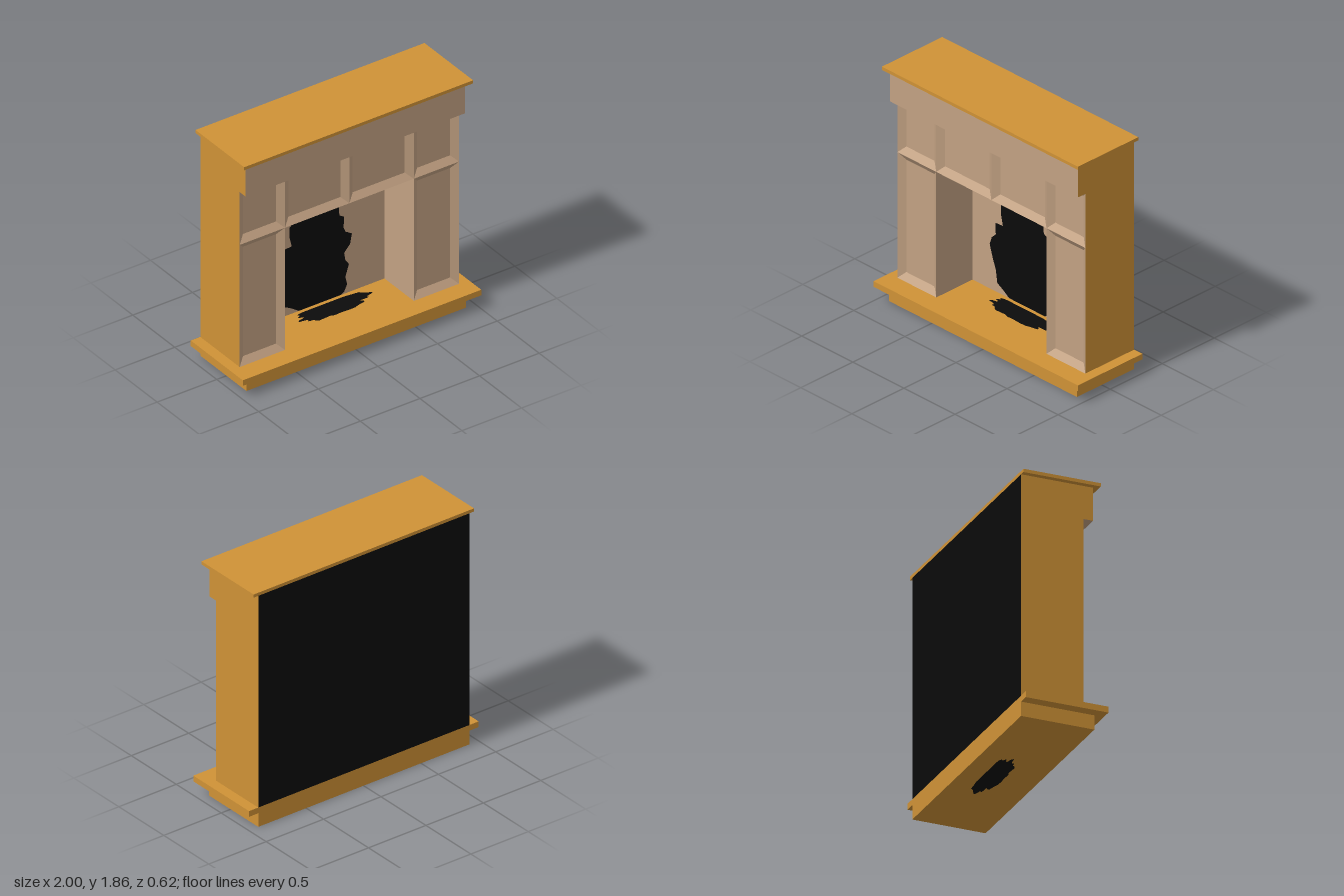
import * as THREE from 'three';

const mat = (name, color, side = THREE.FrontSide) => {
  const m = new THREE.MeshStandardMaterial({ color, side });
  m.name = name;
  return m;
};

export function createModel() {
  const root = new THREE.Group();
  root.name = 'fireplace';
  const wood = mat('wood', 0xcf9236, THREE.DoubleSide);
  const stone = mat('stone', 0xc2a182, THREE.DoubleSide);
  const black = mat('black', 0x0b0b0b, THREE.DoubleSide);

  // Main dimensions
  const W = 0.92, IN = 0.54, BACK = -0.31, FRONT = 0.16, WALL = -0.19;
  const FLOOR = 0.155, ARCH = 1.15, SHELF = 1.58, TOP = 1.83;

  const add = (name, geo, material) => {
    const mesh = new THREE.Mesh(geo, material);
    mesh.name = name;
    root.add(mesh);
    return mesh;
  };
  const box = (name, x, y0, y1, z0, z1, material) => {
    const geo = new THREE.BoxGeometry(2 * x, y1 - y0, z1 - z0);
    geo.translate(0, (y0 + y1) / 2, (z0 + z1) / 2);
    return add(name, geo, material);
  };
  // Flat faces from lists of four corners, counter-clockwise from outside
  const quads = (name, faces, material) => {
    const geo = new THREE.BufferGeometry();
    const p = faces.flatMap(([a, b, c, d]) => [a, b, c, a, c, d].flat());
    geo.setAttribute('position', new THREE.Float32BufferAttribute(p, 3));
    geo.computeVertexNormals();
    return add(name, geo, material);
  };

  // Stepped base and hearth slab
  box('base', W, 0.002, 0.11, BACK, 0.24, wood);
  box('hearthSlab', 1, 0.11, FLOOR, BACK, 0.31, wood);

  // Mantel beam with wooden ends, and the shelf on top
  box('mantelBeam', W, SHELF, TOP, BACK, 0.23, [wood, wood, stone, stone, stone, black]);
  box('mantelShelf', 0.96, TOP, 1.855, BACK, 0.27, wood);

  // Outer sides and the inner cheeks of the opening
  for (const s of [-1, 1]) {
    const side = (x, y1, z0, out) => {
      const c = [[x, FLOOR, FRONT], [x, FLOOR, z0], [x, y1, z0], [x, y1, FRONT]];
      return out > 0 ? c : c.reverse();
    };
    const label = s > 0 ? 'left' : 'right';
    quads(label + 'Side', [side(s * W, SHELF, BACK, s)], wood);
    quads(label + 'InnerCheek', [side(s * IN, ARCH, WALL, -s)], stone);
  }

  // Opening back wall and ceiling, and the black rear
  quads('firebackWall', [[[-IN, FLOOR, WALL], [IN, FLOOR, WALL], [IN, ARCH, WALL], [-IN, ARCH, WALL]]], stone);
  quads('openingCeiling', [[[-IN, ARCH, WALL], [IN, ARCH, WALL], [IN, ARCH, FRONT], [-IN, ARCH, FRONT]]], stone);
  quads('rearPanel', [[[W, FLOOR, BACK], [-W, FLOOR, BACK], [-W, SHELF, BACK], [W, SHELF, BACK]]], black);

  // Sunken panels with bevelled edges
  const panel = (name, x0, x1, y0, y1) => {
    const b = 0.052, d = 0.035;
    const o = [[x0, y0, FRONT], [x1, y0, FRONT], [x1, y1, FRONT], [x0, y1, FRONT]];
    const z = FRONT - d;
    const i = [[x0 + b, y0 + b, z], [x1 - b, y0 + b, z], [x1 - b, y1 - b, z], [x0 + b, y1 - b, z]];
    const faces = [i];
    for (let k = 0; k < 4; k++) {
      const n = (k + 1) % 4;
      faces.push([o[k], o[n], i[n], i[k]]);
    }
    quads(name, faces, stone);
  };
  const xs = [-W, -IN, 0, IN, W];
  for (let k = 0; k < 4; k++) panel('upperPanel' + (k + 1), xs[k], xs[k + 1], ARCH, SHELF);
  panel('rightPillarPanel', -W, -IN, FLOOR, ARCH);
  panel('leftPillarPanel', IN, W, FLOOR, ARCH);

  // Ragged soot outline, used on the wall, the hearth and the underside
  const outline = [
    [-0.18, 0.158], [-0.24, 0.2], [-0.295, 0.23], [-0.31, 0.33], [-0.34, 0.41], [-0.37, 0.51],
    [-0.35, 0.57], [-0.31, 0.61], [-0.315, 0.7], [-0.24, 0.705], [-0.26, 0.79], [-0.26, 0.86],
    [-0.2, 0.92], [-0.165, 0.98], [-0.11, 0.99], [-0.05, 0.97], [0.01, 0.985], [0.04, 0.925],
    [0.13, 0.955], [0.155, 0.88], [0.16, 0.81], [0.2, 0.785], [0.195, 0.7], [0.21, 0.66],
    [0.265, 0.625], [0.25, 0.545], [0.2, 0.49], [0.21, 0.43], [0.24, 0.385], [0.21, 0.29],
    [0.225, 0.225], [0.2, 0.175], [0.17, 0.158],
  ];
  const soot = (map) => new THREE.ShapeGeometry(
    new THREE.Shape(outline.map(([x, y]) => new THREE.Vector2(...map(x, y)))));
  const depth = (y) => -0.16 + (y - FLOOR) * 0.19;
  add('wallSoot', soot((x, y) => [x, y]), black).position.z = WALL + 0.003;
  add('hearthSoot', soot((x, y) => [-x, -depth(y)]).rotateX(-Math.PI / 2), black).position.y = FLOOR + 0.002;
  add('undersideSoot', soot((x, y) => [-x, depth(y)]).rotateX(Math.PI / 2), black);

  return root;
}
